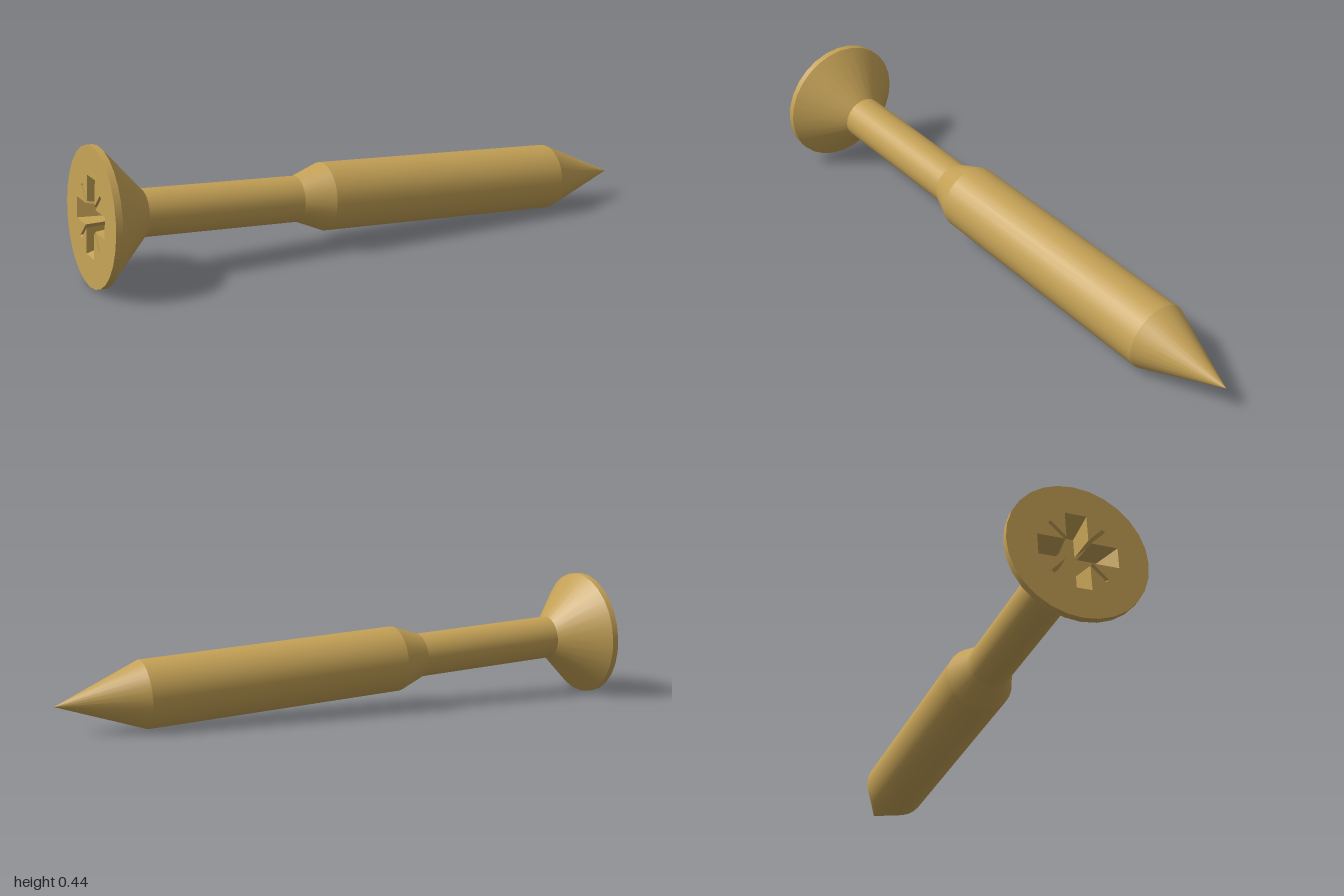
import * as THREE from 'three';

export function createModel() {
  const brass = new THREE.MeshStandardMaterial({ color: 0xc3a055 });
  brass.name = 'brass';
  const model = new THREE.Group();
  model.name = 'screw';

  // Turned body: each span is its own surface so the edges between stay crisp
  const spans = [
    ['headRim', 0.2215, 0, 0.2215, 0.022],
    ['headCone', 0.2215, 0.022, 0.076, 0.162],
    ['neck', 0.076, 0.162, 0.076, 0.698],
    ['shoulder', 0.076, 0.698, 0.114, 0.795],
    ['shank', 0.114, 0.795, 0.114, 1.71],
    ['tip', 0.114, 1.71, 0, 2.0],
  ];
  const SIDES = 28;
  for (const [name, r0, y0, r1, y1] of spans) {
    const profile = [new THREE.Vector2(r0, y0), new THREE.Vector2(r1, y1)];
    const mesh = new THREE.Mesh(new THREE.LatheGeometry(profile, SIDES), brass);
    mesh.name = name;
    model.add(mesh);
  }

  // Drive recess outline: four wide arms with thin slits between them
  const L = 0.125, w = 0.034;
  const quarter = [[L, w], [w + 0.0085, w], [0.089, 0.0805], [0.0805, 0.089], [w, w + 0.0085], [w, L]];
  const outline = [];
  for (let q = 0; q < 4; q++) {
    for (const [x, y] of quarter) {
      outline.push(new THREE.Vector2(x, y).rotateAround(new THREE.Vector2(), q * Math.PI / 2));
    }
  }

  const head = new THREE.Group();
  head.name = 'driveFace';
  head.rotation.x = Math.PI / 2;
  model.add(head);

  // Flat head face with the recess cut out
  const disc = [];
  for (let i = 0; i < SIDES; i++) {
    const a = i / SIDES * Math.PI * 2;
    disc.push(new THREE.Vector2(Math.sin(a), Math.cos(a)).multiplyScalar(0.2215));
  }
  const faceShape = new THREE.Shape(disc);
  faceShape.holes.push(new THREE.Path(outline));
  const face = new THREE.Mesh(new THREE.ShapeGeometry(faceShape), brass);
  face.name = 'headFace';
  head.add(face);

  // Recess walls, tapering inwards, and the recess floor
  const depth = 0.08, taper = 0.75;
  const inner = outline.map(p => p.clone().multiplyScalar(taper));
  const pos = [];
  outline.forEach((a, i) => {
    const j = (i + 1) % outline.length;
    const b = outline[j], c = inner[j], d = inner[i];
    pos.push(a.x, a.y, 0, b.x, b.y, 0, c.x, c.y, -depth);
    pos.push(a.x, a.y, 0, c.x, c.y, -depth, d.x, d.y, -depth);
  });
  const wallGeometry = new THREE.BufferGeometry();
  wallGeometry.setAttribute('position', new THREE.Float32BufferAttribute(pos, 3));
  wallGeometry.computeVertexNormals();
  const walls = new THREE.Mesh(wallGeometry, brass);
  walls.name = 'recessWalls';
  const floor = new THREE.Mesh(new THREE.ShapeGeometry(new THREE.Shape(inner)), brass);
  floor.name = 'recessFloor';
  floor.position.z = -depth;
  head.add(walls, floor);

  // Lay the screw down: the axis runs from the head centre to the tip
  const start = new THREE.Vector3(-0.951, 0.2245, -0.125);
  const axis = new THREE.Vector3(1.0, 0.0985, 0.287).sub(start).normalize();
  const up = new THREE.Vector3(0, 1, 0).addScaledVector(axis, -axis.y).normalize();
  const side = new THREE.Vector3().crossVectors(up, axis);
  model.quaternion.setFromRotationMatrix(new THREE.Matrix4().makeBasis(up, axis, side));
  model.position.copy(start);

  const root = new THREE.Group();
  root.name = 'model';
  root.add(model);
  return root;
}
